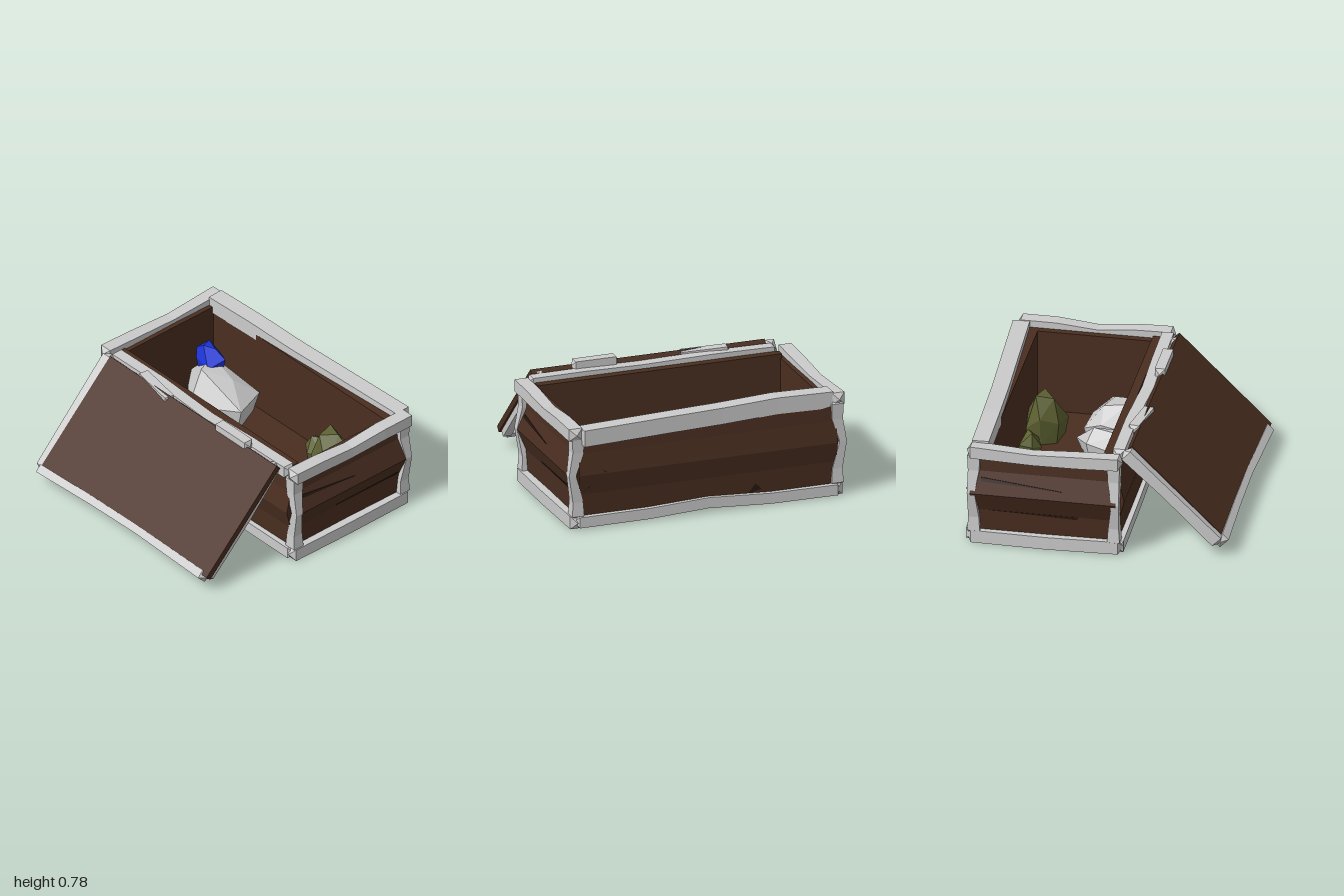
import * as THREE from 'three';
import { ConvexGeometry } from 'three/addons/geometries/ConvexGeometry.js';

const mat = (color) => new THREE.MeshStandardMaterial({ color, flatShading: true });
const GREY = mat(0xcccccc), BROWN = mat(0x4a2e20), DARK = mat(0x2a180f), GREEN = mat(0x5c6030), BLUE = mat(0x1c34d8);
const V = (a) => new THREE.Vector3(...a);

export function createModel() {
  const root = new THREE.Group();
  root.name = 'openChest';
  const add = (name, geo, material, parent = root) => {
    const m = new THREE.Mesh(geo, material);
    m.name = name;
    parent.add(m);
    return m;
  };

  // Rough-hewn beam: square rings along stations [x, y, z, scale], with pyramid tips
  const beam = (name, pts, w, h, upDir = [0, 1, 0], tip = 0.03) => {
    const c = pts.map(V);
    const dir = c[c.length - 1].clone().sub(c[0]).normalize();
    const up = V(upDir);
    up.addScaledVector(dir, -up.dot(dir)).normalize();
    const side = up.clone().cross(dir);
    const rings = c.map((p, k) => {
      const s = pts[k][3] ?? 1;
      return [[1, 1], [-1, 1], [-1, -1], [1, -1]].map(([a, b]) =>
        p.clone().addScaledVector(side, a * s * w / 2).addScaledVector(up, b * s * h / 2));
    });
    const out = [];
    const tri = (...vs) => vs.forEach((v) => out.push(v.x, v.y, v.z));
    const first = c[0].clone().addScaledVector(dir, -tip);
    const last = c[c.length - 1].clone().addScaledVector(dir, tip);
    for (let i = 0; i < 4; i++) {
      const j = (i + 1) % 4;
      for (let k = 0; k + 1 < rings.length; k++) {
        const [r, q] = [rings[k], rings[k + 1]];
        tri(r[i], r[j], q[j]);
        tri(r[i], q[j], q[i]);
      }
      tri(rings[0][j], rings[0][i], first);
      const e = rings[rings.length - 1];
      tri(e[i], e[j], last);
    }
    const g = new THREE.BufferGeometry();
    g.setAttribute('position', new THREE.Float32BufferAttribute(out, 3));
    g.computeVertexNormals();
    return add(name, g, GREY);
  };

  // Walls: plank profile swelling outward at mid height
  const cx = 0.325;
  const wall = (name, inner, outer, bulge, length, angle) => {
    const s = new THREE.Shape([
      [inner, 0.06], [outer, 0.06], [outer + 0.01, 0.25], [bulge, 0.39], [outer + 0.01, 0.54], [outer, 0.68], [inner, 0.68],
    ].map((p) => new THREE.Vector2(...p)));
    const g = new THREE.ExtrudeGeometry(s, { depth: length, bevelEnabled: false });
    g.translate(0, 0, -length / 2).rotateY(angle).translate(cx, 0, 0);
    add(name, g, BROWN);
  };
  wall('leftWall', 0.39, 0.495, 0.53, 1.84, 0);
  wall('rightWall', 0.39, 0.495, 0.54, 1.84, Math.PI);
  wall('frontWall', 0.85, 0.925, 0.99, 0.99, -Math.PI / 2);
  wall('backWall', 0.86, 0.925, 0.995, 0.99, Math.PI / 2);
  add('floor', new THREE.BoxGeometry(1.0, 0.05, 1.84), BROWN).position.set(cx, 0.065, 0);
  // Plank lip along the hinge side
  add('hingeLip', new THREE.BoxGeometry(0.06, 0.1, 1.74), BROWN).position.set(-0.095, 0.66, 0);

  // Corner posts, pinched at mid height
  for (const sx of [-1, 1]) for (const sz of [-1, 1]) {
    const x = cx + sx * 0.475, z = sz * 0.925;
    beam('cornerPost', [
      [x, 0.1, z, 1], [x, 0.2, z, 0.85], [x + sx * 0.015, 0.39, z + sz * 0.04, 0.6],
      [x, 0.55, z, 0.9], [x, 0.66, z, 1],
    ], 0.085, 0.085, [0, 0, 1]);
  }

  // Bottom rails
  beam('frontBottomRail', [[-0.18, 0.055, 0.93], [0.3, 0.06, 0.94], [0.82, 0.055, 0.93]], 0.09, 0.09);
  beam('backBottomRail', [[-0.18, 0.06, -0.92], [0.3, 0.055, -0.93], [0.82, 0.055, -0.92]], 0.09, 0.09);
  beam('leftBottomRail', [
    [0.82, 0.055, -0.92], [0.815, 0.055, -0.45], [0.81, 0.08, 0], [0.815, 0.06, 0.42], [0.82, 0.06, 0.92],
  ], 0.08, 0.075);
  beam('rightBottomRail', [
    [-0.17, 0.055, -0.92], [-0.165, 0.06, -0.4], [-0.16, 0.075, 0.1], [-0.165, 0.055, 0.5], [-0.17, 0.06, 0.92],
  ], 0.08, 0.08);

  // Top rails
  beam('frontTopRail', [
    [-0.18, 0.69, 0.945], [0.05, 0.685, 0.945], [0.32, 0.665, 0.94, 0.9], [0.6, 0.685, 0.945], [0.84, 0.685, 0.945],
  ], 0.095, 0.085);
  beam('backTopRail', [
    [-0.18, 0.69, -0.935], [0.1, 0.68, -0.935], [0.4, 0.67, -0.935, 0.9], [0.82, 0.69, -0.935],
  ], 0.09, 0.085);
  beam('leftTopRail', [
    [0.765, 0.685, -0.9], [0.77, 0.695, -0.5], [0.785, 0.68, -0.1], [0.805, 0.675, 0.3], [0.835, 0.665, 0.9],
  ], 0.115, 0.115, [0, 1, 0], 0.003);
  beam('rightTopRail', [
    [-0.165, 0.7, -0.84], [-0.165, 0.705, -0.4], [-0.18, 0.69, 0.1], [-0.17, 0.7, 0.5], [-0.165, 0.7, 0.88],
  ], 0.08, 0.085);

  // Lid, swung open and resting beside the chest
  const slope = [-1, 1, 0];
  const lid = add('lidPanel', new THREE.BoxGeometry(0.88, 0.045, 1.67), BROWN);
  lid.position.set(-0.545, 0.435, 0.02);
  lid.rotation.z = 0.78;
  beam('lidFrontRail', [[-0.83, 0.12, 0.81], [-0.5, 0.44, 0.815, 0.9], [-0.22, 0.72, 0.795]], 0.06, 0.085, slope);
  beam('lidBackRail', [[-0.83, 0.12, -0.83], [-0.5, 0.45, -0.845, 0.9], [-0.22, 0.72, -0.85]], 0.065, 0.085, slope);
  beam('lidOuterRail', [
    [-0.855, 0.115, -0.82], [-0.845, 0.125, -0.3, 0.9], [-0.84, 0.125, 0.15, 0.85], [-0.85, 0.115, 0.8],
  ], 0.06, 0.085, slope);

  // Hinge blocks
  beam('hinge', [[-0.23, 0.755, 0.26], [-0.23, 0.755, 0.55]], 0.07, 0.075, [0, 1, 0], 0.02);
  beam('hinge', [[-0.25, 0.715, -0.22], [-0.205, 0.73, -0.53]], 0.07, 0.075, [0, 1, 0], 0.02);

  // Splits in the planks: slim dark wedges sunk into the surface
  const crack = (a, b, c) => {
    const p = [a, b, c].map(V);
    const mid = p[0].clone().add(p[1]).add(p[2]).divideScalar(3);
    const inward = new THREE.Vector3(cx, 0.39, 0).sub(mid).normalize().multiplyScalar(0.03);
    add('plankSplit', new ConvexGeometry([...p, ...p.map((q) => q.clone().add(inward))]), DARK);
  };
  crack([-0.1, 0.505, 0.952], [-0.1, 0.485, 0.961], [0.35, 0.455, 0.971]);
  crack([0.76, 0.28, 0.95], [0.76, 0.262, 0.943], [0.2, 0.275, 0.948]);
  crack([0.75, 0.5, -0.956], [0.75, 0.475, -0.967], [0.2, 0.45, -0.976]);
  crack([0.1, 0.25, -0.937], [0.1, 0.23, -0.936], [0.7, 0.25, -0.937]);
  crack([0.83, 0.5, 0.88], [0.835, 0.27, 0.88], [0.855, 0.4, 0.73]);
  crack([0.826, 0.2, -0.31], [0.822, 0.1, -0.29], [0.825, 0.12, -0.39]);

  // Faceted lumps: footprint [x, z] at base, shoulder ring shrunk to the ridge points
  const lump = (name, material, foot, y0, y1, ridge) => {
    const n = foot.length;
    const mx = foot.reduce((s, p) => s + p[0], 0) / n, mz = foot.reduce((s, p) => s + p[1], 0) / n;
    const pts = [];
    foot.forEach(([x, z], i) => {
      pts.push(new THREE.Vector3(x, y0 + (y1 - y0) * (0.35 + 0.12 * (i % 3)), z));
      pts.push(new THREE.Vector3(mx + (x - mx) * 0.85, y0, mz + (z - mz) * 0.85));
    });
    ridge.forEach(([x, z, d = 0]) => pts.push(new THREE.Vector3(x, y1 - d, z)));
    add(name, new ConvexGeometry(pts), material);
  };
  lump('rock', GREY, [[-0.06, -0.78], [0.1, -0.84], [0.33, -0.8], [0.34, -0.6], [0.22, -0.42], [-0.04, -0.33]], 0.08, 0.38,
    [[0.05, -0.78], [0.2, -0.7, 0.02], [0.05, -0.55, 0.05]]);
  lump('rock', GREY, [[0.28, -0.62], [0.4, -0.76], [0.5, -0.84], [0.68, -0.78], [0.7, -0.38], [0.42, -0.25]], 0.08, 0.42,
    [[0.42, -0.65], [0.58, -0.72], [0.55, -0.48, 0.06]]);
  lump('rock', GREY, [[-0.06, 0.24], [0.02, 0.12], [0.26, 0.2], [0.36, 0.38], [0.14, 0.42], [-0.06, 0.38]], 0.08, 0.3,
    [[0.03, 0.2], [0.22, 0.27], [0.05, 0.34, 0.04]]);
  lump('rock', GREY, [[-0.06, 0.55], [0.02, 0.4], [0.2, 0.41], [0.33, 0.48], [0.3, 0.66], [0.2, 0.84], [0, 0.82]], 0.08, 0.36,
    [[0.04, 0.52], [0.2, 0.52, 0.02], [0.06, 0.68, 0.03], [0.16, 0.72, 0.05]]);
  lump('pebble', GREY, [[-0.04, -0.24], [0.03, -0.32], [0.14, -0.21], [0.06, -0.12]], 0.08, 0.19, [[0.03, -0.25], [0.07, -0.21]]);
  lump('greenOre', GREEN, [[0.45, 0.58], [0.48, 0.38], [0.6, 0.33], [0.7, 0.36], [0.72, 0.56], [0.62, 0.7]], 0.08, 0.43,
    [[0.52, 0.42, 0.02], [0.64, 0.4], [0.6, 0.52]]);
  lump('greenOre', GREEN, [[0.57, 0.24], [0.62, 0.17], [0.71, 0.16], [0.71, 0.34], [0.61, 0.34]], 0.08, 0.24, [[0.63, 0.22], [0.67, 0.28]]);
  lump('greenOre', GREEN, [[-0.07, -0.84], [0.01, -0.85], [0.03, -0.71], [-0.06, -0.7]], 0.1, 0.4, [[-0.04, -0.8], [0, -0.76]]);
  lump('blueGem', BLUE, [[0.47, -0.64], [0.49, -0.78], [0.55, -0.84], [0.62, -0.8], [0.64, -0.7], [0.59, -0.6]], 0.33, 0.52,
    [[0.52, -0.74], [0.59, -0.76], [0.57, -0.68, 0.02]]);

  return root;
}
